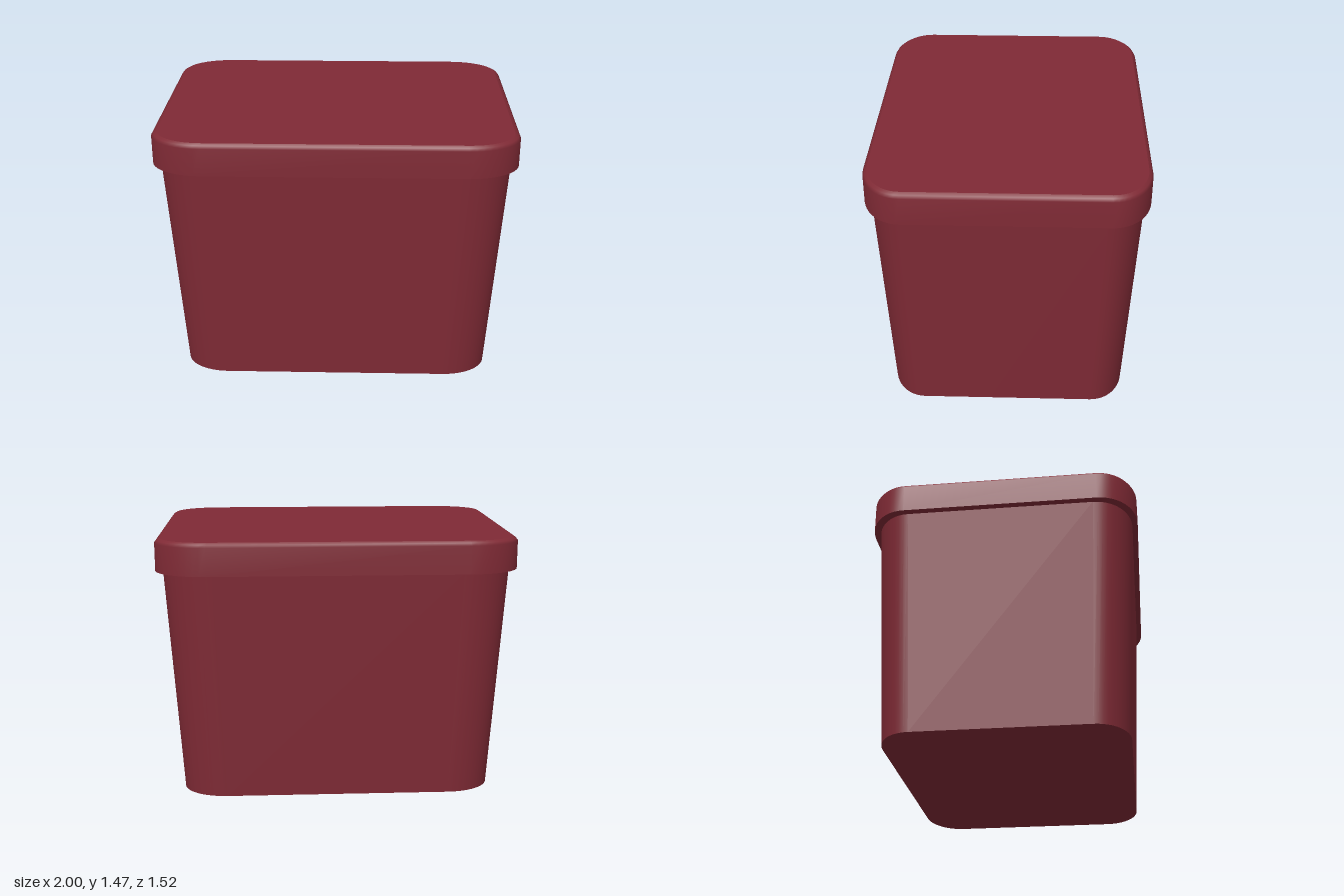
import * as THREE from 'three';

const CORNER_STEPS = 12;

// Rounded rectangle in the xz plane with elliptical corners, as [x, z] pairs
function outline(hx, hz, rx, rz) {
  const points = [];
  for (let q = 0; q < 4; q++) {
    const sx = q === 0 || q === 3 ? 1 : -1;
    const sz = q < 2 ? 1 : -1;
    for (let i = 0; i <= CORNER_STEPS; i++) {
      const a = (q + i / CORNER_STEPS) * Math.PI / 2;
      points.push([sx * (hx - rx) + rx * Math.cos(a), sz * (hz - rz) + rz * Math.sin(a)]);
    }
  }
  return points;
}

function build(position, index) {
  const g = new THREE.BufferGeometry();
  g.setAttribute('position', new THREE.Float32BufferAttribute(position, 3));
  g.setIndex(index);
  g.computeVertexNormals();
  return g;
}

// Smooth wall through sections { y, hx, hz, rx, rz } from bottom to top
function wall(sections) {
  const position = [], index = [];
  const n = 4 * (CORNER_STEPS + 1);
  sections.forEach((s, i) => {
    for (const [x, z] of outline(s.hx, s.hz, s.rx, s.rz)) position.push(x, s.y, z);
    if (i === 0) return;
    for (let j = 0; j < n; j++) {
      const k = (j + 1) % n;
      const a = (i - 1) * n + j, b = (i - 1) * n + k, c = i * n + j, d = i * n + k;
      index.push(a, c, b, b, c, d);
    }
  });
  return build(position, index);
}

// Flat cap filling one section
function cap(s, up) {
  const position = [0, s.y, 0], index = [];
  const points = outline(s.hx, s.hz, s.rx, s.rz);
  points.forEach(([x, z], j) => {
    position.push(x, s.y, z);
    const a = j + 1, b = (j + 1) % points.length + 1;
    if (up) index.push(0, b, a);
    else index.push(0, a, b);
  });
  return build(position, index);
}

export function createModel() {
  const model = new THREE.Group();
  model.name = 'lidded tub';
  const material = new THREE.MeshStandardMaterial({ color: 0x7f2a35 });

  const addPart = (name, sections) => {
    const part = new THREE.Group();
    part.name = name;
    const pieces = {
      Wall: wall(sections),
      Bottom: cap(sections[0], false),
      Top: cap(sections[sections.length - 1], true),
    };
    for (const [suffix, geometry] of Object.entries(pieces)) {
      const mesh = new THREE.Mesh(geometry, material);
      mesh.name = name + suffix;
      part.add(mesh);
    }
    model.add(part);
  };

  // Tapered container
  addPart('body', [
    { y: 0, hx: 0.88, hz: 0.67, rx: 0.25, rz: 0.19 },
    { y: 1.29, hx: 0.96, hz: 0.73, rx: 0.28, rz: 0.21 },
  ]);

  // Overhanging lid with a softened top edge
  addPart('lid', [
    { y: 1.285, hx: 1, hz: 0.76, rx: 0.29, rz: 0.22 },
    { y: 1.44, hx: 1, hz: 0.76, rx: 0.29, rz: 0.22 },
    { y: 1.455, hx: 0.988, hz: 0.751, rx: 0.28, rz: 0.212 },
    { y: 1.465, hx: 0.97, hz: 0.738, rx: 0.265, rz: 0.2 },
  ]);

  return model;
}
